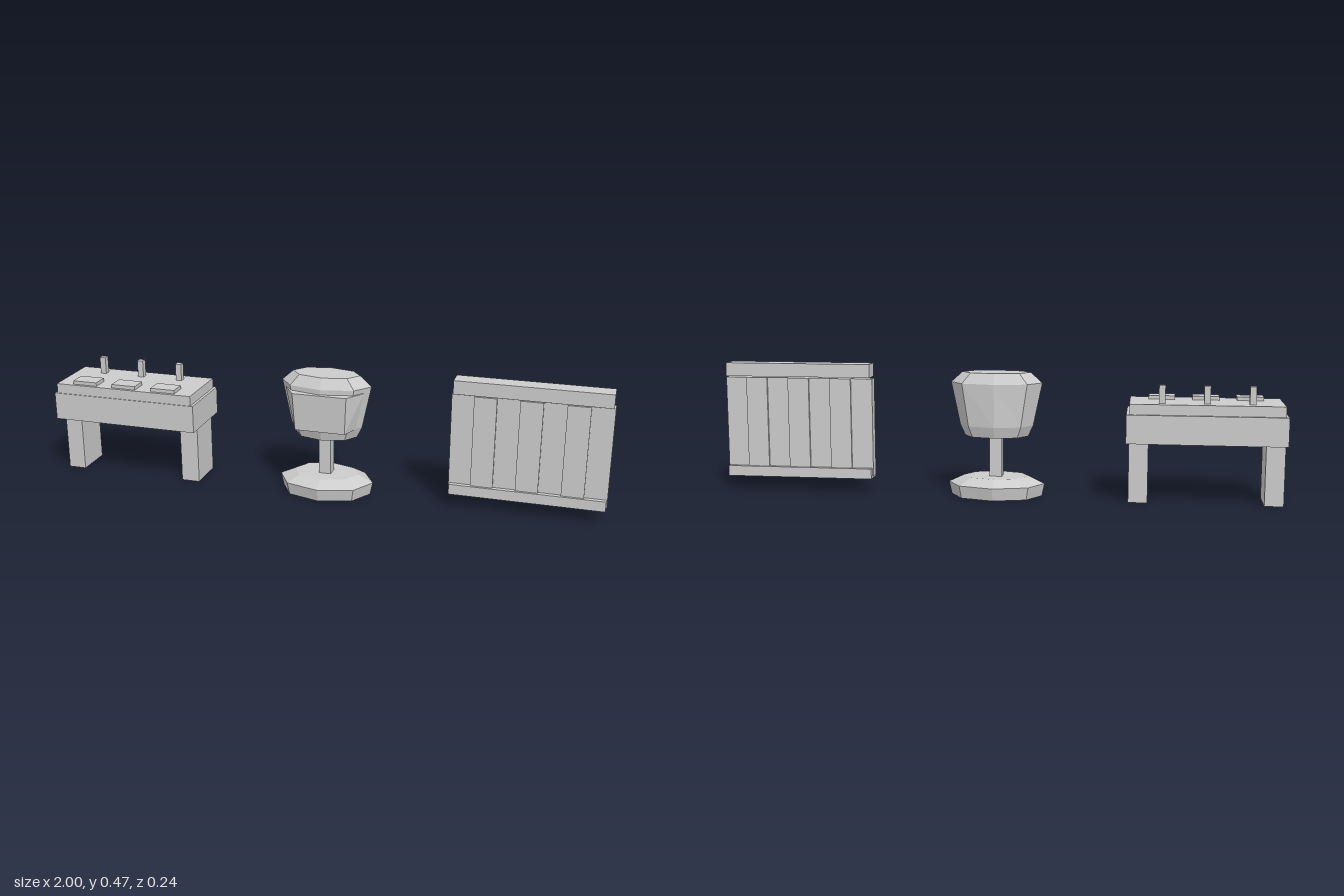
import * as THREE from 'three';
import { ConvexGeometry } from 'three/addons/geometries/ConvexGeometry.js';

const grey = new THREE.MeshStandardMaterial({ color: 0xcccccc, flatShading: true });
grey.name = 'plain grey';

function add(parent, name, geometry) {
  const mesh = new THREE.Mesh(geometry, grey);
  mesh.name = name;
  parent.add(mesh);
  return mesh;
}

// Box given by its limits on each axis
function box(parent, name, [x0, x1], [y0, y1], [z0, z1]) {
  const mesh = add(parent, name, new THREE.BoxGeometry(x1 - x0, y1 - y0, z1 - z0));
  mesh.position.set((x0 + x1) / 2, (y0 + y1) / 2, (z0 + z1) / 2);
  return mesh;
}

// Eight-sided oval solid from rings of [half width, height, half depth]
function ovalSolid(rings) {
  const full = [[0, rings[0][1], 0], ...rings, [0, rings.at(-1)[1], 0]];
  const geometry = new THREE.LatheGeometry(full.map(([r, y]) => new THREE.Vector2(r, y)), 8);
  const pos = geometry.attributes.position;
  for (let i = 0; i < pos.count; i++) {
    const [r, , d] = full[i % full.length];
    if (r > 0) pos.setZ(i, pos.getZ(i) * d / r);
  }
  return geometry;
}

function makeConsole() {
  const g = new THREE.Group();
  g.name = 'controlTable';
  box(g, 'tableBody', [-1, -0.455], [0.213, 0.313], [-0.109, 0.124]);
  box(g, 'tableTop', [-0.99, -0.465], [0.313, 0.349], [-0.098, 0.121]);
  box(g, 'rightLeg', [-0.995, -0.93], [0, 0.213], [-0.07, 0.068]);
  box(g, 'leftLeg', [-0.532, -0.465], [0, 0.213], [-0.07, 0.068]);
  // Three pads in front, three levers behind
  for (let i = 0; i < 3; i++) {
    const x = -0.882 + i * 0.153;
    box(g, 'pad', [x - 0.046, x + 0.046], [0.349, 0.362], [0.048, 0.11]);
    box(g, 'lever', [x - 0.011, x + 0.011], [0.349, 0.411], [-0.061, -0.039]);
  }
  return g;
}

function makePedestal() {
  const g = new THREE.Group();
  g.name = 'pedestal';
  add(g, 'base', ovalSolid([[0.163, 0, 0.112], [0.173, 0.045, 0.121], [0.118, 0.071, 0.083]]));
  box(g, 'stem', [-0.022, 0.022], [0.06, 0.225], [-0.022, 0.022]);
  add(g, 'head', ovalSolid([[0.113, 0.215, 0.069], [0.131, 0.254, 0.081],
    [0.163, 0.406, 0.085], [0.122, 0.443, 0.063]]));
  // Front panel wrapping round the head, narrower at the bottom
  const corners = [];
  for (const s of [-1, 1]) {
    corners.push(new THREE.Vector3(s * 0.097, 0.388, 0.096), new THREE.Vector3(s * 0.142, 0.388, 0.026),
      new THREE.Vector3(s * 0.09, 0.252, 0.088), new THREE.Vector3(s * 0.114, 0.252, 0.026));
  }
  add(g, 'frontPanel', new ConvexGeometry(corners));
  g.position.x = 0.005;
  return g;
}

function makeFence() {
  const g = new THREE.Group();
  g.name = 'boardWall';
  const x0 = 0.453, x1 = 0.995, count = 7, w = (x1 - x0) / count;
  // Thin and thick boards alternate
  for (let i = 0; i < count; i++) {
    const d = i % 2 ? 0.027 : 0.019;
    box(g, 'board', [x0 + i * w, x0 + (i + 1) * w], [0.06, 0.413], [-d - 0.001, d - 0.001]);
  }
  box(g, 'topRail', [0.459, 0.99], [0.418, 0.466], [-0.034, 0.032]);
  box(g, 'bottomRail', [0.457, 0.992], [0.051, 0.088], [-0.037, 0.035]);
  return g;
}

export function createModel() {
  const model = new THREE.Group();
  model.name = 'furnitureSet';
  model.add(makeConsole(), makePedestal(), makeFence());
  return model;
}
